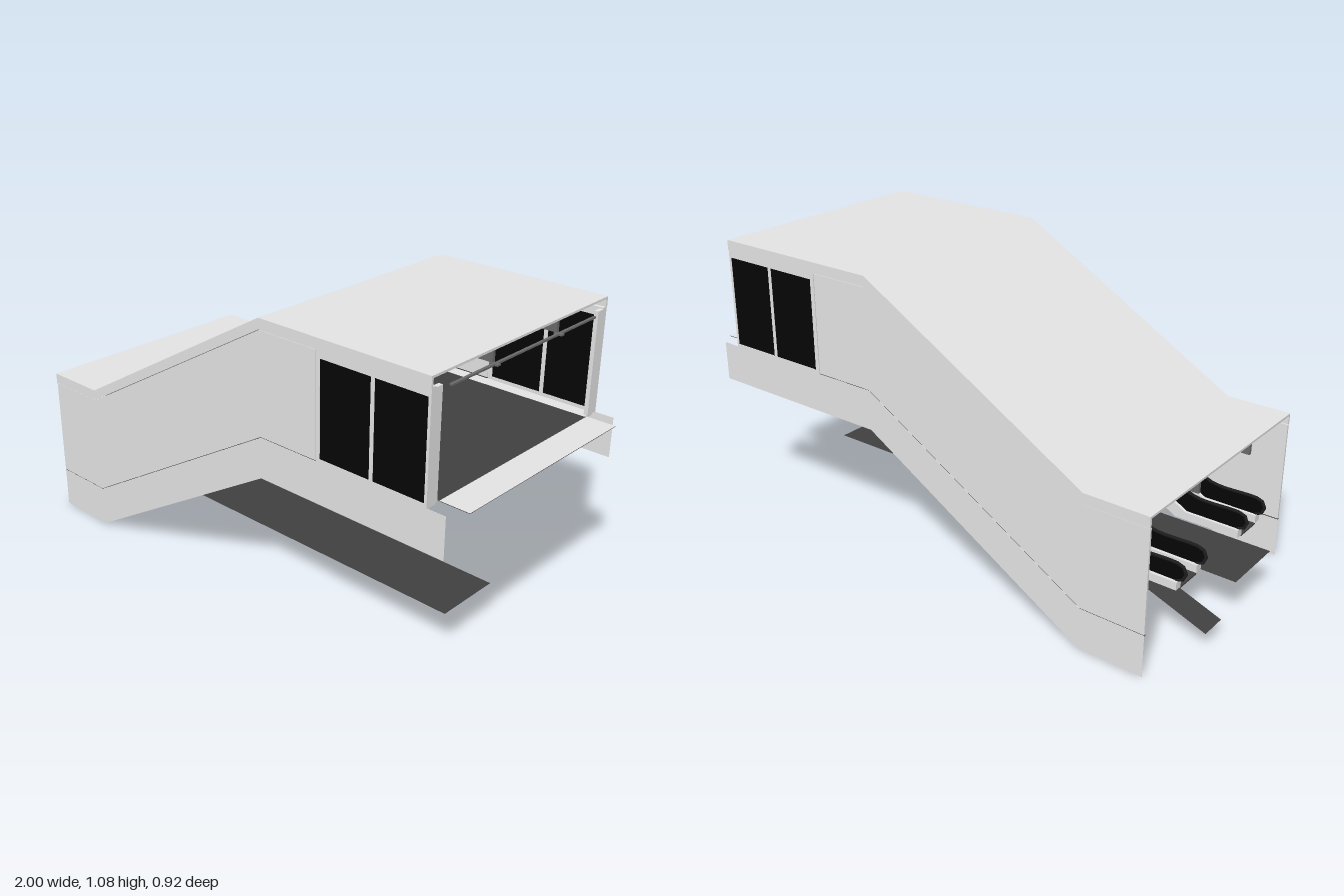
import * as THREE from 'three';

const mat = (name, color) => {
  const m = new THREE.MeshStandardMaterial({ color, side: THREE.DoubleSide });
  m.name = name;
  return m;
};

export function createModel() {
  const model = new THREE.Group();
  const light = mat('light panel', 0xe4e4e4);
  const grey = mat('mid grey', 0x6a6a6a);
  const dark = mat('dark tread', 0x404040);
  const rubber = mat('dark rubber', 0x1c1c1c);
  const black = mat('black glass', 0x050505);

  const add = (name, geo, material, parent = model) => {
    const mesh = new THREE.Mesh(geo, material);
    mesh.name = name;
    parent.add(mesh);
    return mesh;
  };
  // Box given by its extents
  const box = (name, x0, x1, y0, y1, z0, z1, material, parent) => {
    const g = new THREE.BoxGeometry(x1 - x0, y1 - y0, z1 - z0);
    g.translate((x0 + x1) / 2, (y0 + y1) / 2, (z0 + z1) / 2);
    return add(name, g, material, parent);
  };
  // Flat sheet running from (x0, y0) to (x1, y1)
  const sheet = (name, x0, y0, x1, y1, z0, z1, material) => {
    const g = new THREE.PlaneGeometry(Math.hypot(x1 - x0, y1 - y0), z1 - z0);
    g.rotateX(-Math.PI / 2).rotateZ(Math.atan2(y1 - y0, x1 - x0));
    g.translate((x0 + x1) / 2, (y0 + y1) / 2, (z0 + z1) / 2);
    return add(name, g, material);
  };
  // Side profile (x, y) extruded from z0 to z1
  const profile = (name, pts, z0, z1, material, parent) => {
    const shape = new THREE.Shape(pts.map(p => new THREE.Vector2(p[0], p[1])));
    const g = new THREE.ExtrudeGeometry(shape, { depth: z1 - z0, bevelEnabled: false });
    g.translate(0, 0, z0);
    return add(name, g, material, parent);
  };
  // Closed band between a path shifted down and the same path shifted up
  const band = (path, lo, hi) => [
    ...path.map(([x, y]) => [x, y + lo]),
    ...path.map(([x, y]) => [x, y + hi]).reverse(),
  ];

  const roofPath = [[-0.92, 0.57], [-0.68, 0.57], [0.21, 1.08], [0.89, 1.08]];
  const walkPath = [[-0.92, 0.155], [-0.68, 0.155], [0.21, 0.67]];

  // Roof shell with two ceiling ribs
  profile('roof', band(roofPath, -0.008, 0), -0.462, 0.462, light);
  for (const z of [-0.17, 0.17]) {
    profile('ceilingRib', band(roofPath, -0.045, -0.008), z - 0.006, z + 0.006, grey);
    box('headerStub', 0.88, 0.91, 1.028, 1.034, z - 0.008, z + 0.008, grey);
  }
  box('doorHeader', 0.89, 0.9, 1.028, 1.034, -0.38, 0.38, grey);
  box('lowerLintel', -0.69, -0.68, 0.43, 0.56, -0.1, 0.405, grey);

  // Side walls, mirrored front to back
  for (const s of [1, -1]) {
    const side = new THREE.Group();
    side.name = s > 0 ? 'frontWall' : 'backWall';
    model.add(side);
    const span = (a, b) => (s > 0 ? [a, b] : [-b, -a]);
    const slab = (name, pts, a, b, m) => profile(name, pts, ...span(a, b), m, side);
    const block = (name, x0, x1, y0, y1, a, b, m) => box(name, x0, x1, y0, y1, ...span(a, b), m, side);

    slab('lowerBand', [[-0.92, 0], [-0.68, 0], [0.21, 0.52], [0.96, 0.52], [0.96, 0.668],
      [0.21, 0.668], [-0.68, 0.153], [-0.92, 0.153]], 0.4595, 0.46, light);
    slab('wallPanel', [...walkPath, [0.45, 0.67], [0.45, 1.039], [0.21, 1.039], [-0.68, 0.529],
      [-0.92, 0.529]], 0.452, 0.46, light);
    slab('fascia', band(roofPath, -0.039, -0.001), 0.454, 0.462, light);
    slab('wallTrim', band([...walkPath, [0.45, 0.67]], -0.004, 0.001), 0.453, 0.4592, dark);
    // Window bay: frame members around two panes
    block('windowSill', 0.453, 0.89, 0.668, 0.68, 0.452, 0.46, light);
    block('windowHead', 0.453, 0.89, 1.015, 1.045, 0.44, 0.46, light);
    for (const [x0, x1] of [[0.453, 0.47], [0.67, 0.685], [0.88, 0.89]]) {
      block('windowPost', x0, x1, 0.68, 1.015, 0.45, 0.46, light);
    }
    for (const [x0, x1] of [[0.47, 0.67], [0.685, 0.88]]) {
      block('windowPane', x0, x1, 0.68, 1.015, 0.452, 0.459, black);
    }
    block('cornerPost', 0.875, 0.89, 0.67, 1.04, 0.41, 0.452, light);
    slab('innerLedge', [[0.03, 0.565], [0.21, 0.665], [0.88, 0.665], [0.88, 0.655]], 0.405, 0.455, light);
  }

  // Upper landing and its pale apron
  sheet('landingFloor', 0.21, 0.668, 0.89, 0.668, -0.4, 0.4, dark);
  sheet('landingApron', 0.89, 0.669, 1, 0.669, -0.405, 0.4, light);
  sheet('apronUnderside', 0.89, 0.667, 1, 0.667, -0.405, 0.4, dark);

  // Folded strip of steps descending from the landing
  const steps = (name, count, rise, run, z0, z1, parent) => {
    const top = [[0.21, 0.668]];
    for (let i = 0; i < count; i++) {
      const x = 0.21 - i * run, y = 0.668 - i * rise;
      top.push([x, y - rise], [x - run, y - rise]);
    }
    const under = top.map(([x, y]) => [x + 0.007, y - 0.007]).reverse();
    return profile(name, [...top, ...under], z0, z1, dark, parent);
  };
  steps('stairs', 10, 0.0255, 0.0445, -0.405, -0.19);
  for (const z of [-0.385, -0.195]) {
    box('stairPost', 0.22, 0.232, 0.668, z < -0.3 ? 0.8 : 0.76, z - 0.004, z + 0.004, light);
  }

  // Two escalators: moving steps, skirts, glass sides and handrails
  const escalatorPath = [[-0.87, 0.155], [-0.66, 0.155], [0.21, 0.638], [0.38, 0.638]];
  const handrail = (z, parent) => {
    const pts = [[-0.86, 0.185], [-0.885, 0.195], [-0.895, 0.22], [-0.88, 0.245], [-0.85, 0.25], [-0.7, 0.25],
      [-0.64, 0.27], [0.15, 0.725], [0.22, 0.753], [0.35, 0.755], [0.4, 0.745], [0.41, 0.715], [0.38, 0.69]]
      .map(([x, y]) => new THREE.Vector3(x, y, z));
    const curve = new THREE.CatmullRomCurve3(pts, false, 'centripetal');
    add('handrail', new THREE.TubeGeometry(curve, 60, 0.006, 8), rubber, parent);
    const face = curve.getPoints(50).map(p => [p.x, p.y]);
    const lower = [[0.21, 0.665], [-0.66, 0.18]];
    profile('glassSide', [...face, ...lower], z - 0.003, z + 0.003, black, parent);
  };
  const escalator = (name, zc) => {
    const g = new THREE.Group();
    g.name = name;
    model.add(g);
    steps('movingSteps', 20, 0.0257, 0.0445, zc - 0.052, zc + 0.052, g);
    box('lowerPlate', -0.87, -0.68, 0.15, 0.156, zc - 0.052, zc + 0.052, dark, g);
    box('upperPit', 0.22, 0.38, 0.64, 0.662, zc - 0.08, zc + 0.08, grey, g);
    for (const s of [-1, 1]) {
      const z = zc + s * 0.0665;
      const skirt = band(escalatorPath, 0, 0.03);
      skirt[1] = [-0.62, 0.155];
      skirt[2] = [0.25, 0.638];
      profile('skirt', skirt, z - 0.015, z + 0.015, light, g);
      handrail(z, g);
    }
  };
  escalator('frontEscalator', 0.32);
  escalator('middleEscalator', -0.103);

  // Guard between the escalator heads
  box('guardGlass', 0.21, 0.216, 0.685, 0.76, -0.015, 0.235, black);
  box('guardBase', 0.207, 0.219, 0.672, 0.685, -0.015, 0.235, light);
  box('guardCap', 0.207, 0.219, 0.76, 0.764, -0.015, 0.235, light);

  // Long ground strip and the sloping strip beside it
  sheet('groundStrip', -1, 0.155, 0.81, 0.155, -0.02, 0.23, dark);
  sheet('slopingStrip', -1, 0.055, 0.38, 0.565, -0.208, -0.105, dark);

  return model;
}
